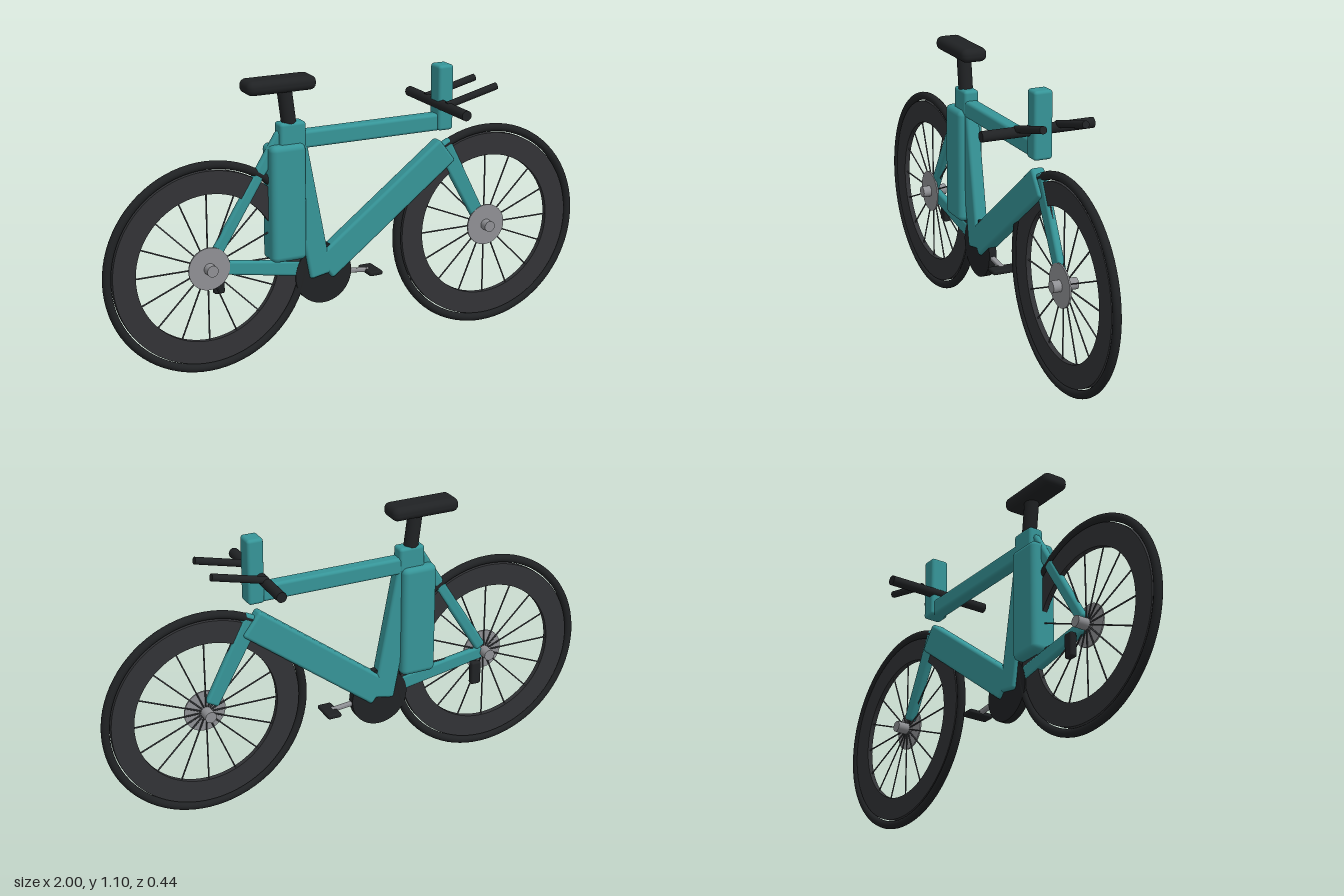
import * as THREE from 'three';
import { RoundedBoxGeometry } from 'three/addons/geometries/RoundedBoxGeometry.js';

const mat = (color) => new THREE.MeshStandardMaterial({ color });
const teal = mat(0x369598), black = mat(0x202224), rimDark = mat(0x323336);
const grey = mat(0x8f9094), spokeGrey = mat(0x44464a);

export function createModel() {
  const bike = new THREE.Group();
  bike.name = 'bicycle';

  const add = (name, geometry, material, x, y, z = 0, parent = bike) => {
    const mesh = new THREE.Mesh(geometry, material);
    mesh.name = name;
    mesh.position.set(x, y, z);
    parent.add(mesh);
    return mesh;
  };
  const box = (name, material, x, y, z, w, h, d, r = 0.012) =>
    add(name, new RoundedBoxGeometry(w, h, d, 3, r), material, x, y, z);

  // Rounded bar between two points in the side plane, with optional taper
  const bar = (name, material, [x0, y0], [x1, y1], w, d, r = 0.012, taper = 1) => {
    const length = Math.hypot(x1 - x0, y1 - y0);
    const geometry = new RoundedBoxGeometry(length, w, d, 3, r);
    const p = geometry.attributes.position;
    for (let i = 0; i < p.count; i++) {
      p.setY(i, p.getY(i) * THREE.MathUtils.lerp(1, taper, p.getX(i) / length + 0.5));
    }
    const mesh = add(name, geometry, material, (x0 + x1) / 2, (y0 + y1) / 2);
    mesh.rotation.z = Math.atan2(y1 - y0, x1 - x0);
    return mesh;
  };

  // Round rod between two 3D points
  const rod = (name, material, a, b, r) => {
    const from = new THREE.Vector3(...a), to = new THREE.Vector3(...b);
    const mid = from.clone().add(to).multiplyScalar(0.5);
    const mesh = add(name, new THREE.CylinderGeometry(r, r, from.distanceTo(to), 20), material, mid.x, mid.y, mid.z);
    mesh.quaternion.setFromUnitVectors(new THREE.Vector3(0, 1, 0), to.sub(from).normalize());
    return mesh;
  };

  // Disc or axle whose axis runs along z
  const disc = (name, material, r, depth, x, y, z, parent) => {
    const mesh = add(name, new THREE.CylinderGeometry(r, r, depth, 40), material, x, y, z, parent);
    mesh.rotation.x = Math.PI / 2;
    return mesh;
  };

  // Wheels: tyre, deep rim, spokes, hub and brake disc
  const wheel = (name, x) => {
    const group = new THREE.Group();
    group.name = name;
    group.position.set(x, 0.412, 0);
    bike.add(group);
    add('tyre', new THREE.TorusGeometry(0.392, 0.016, 14, 80), black, 0, 0, 0, group);
    const ring = new THREE.Shape().absarc(0, 0, 0.372, 0, Math.PI * 2);
    ring.holes.push(new THREE.Path().absarc(0, 0, 0.284, 0, Math.PI * 2, true));
    const rim = new THREE.ExtrudeGeometry(ring, { depth: 0.02, bevelEnabled: false, curveSegments: 64 });
    add('rim', rim, rimDark, 0, 0, -0.01, group);
    const spoke = new THREE.CylinderGeometry(0.003, 0.003, 0.27, 6).translate(0, 0.155, 0);
    for (let i = 0; i < 16; i++) {
      add('spoke', spoke, spokeGrey, 0, 0, 0, group).rotation.z = (i / 16) * Math.PI * 2;
    }
    disc('hub', grey, 0.022, 0.1, 0, 0, 0, group);
    disc('brakeDisc', grey, 0.082, 0.006, 0, 0, 0.014, group);
  };
  wheel('rearWheel', -0.592);
  wheel('frontWheel', 0.588);

  // Frame tubes
  bar('topTube', teal, [-0.27, 0.858], [0.39, 0.858], 0.066, 0.054);
  bar('downTube', teal, [-0.123, 0.342], [0.406, 0.743], 0.114, 0.054);
  bar('seatTube', teal, [-0.25, 0.9], [-0.138, 0.315], 0.09, 0.054);
  box('seatClamp', teal, -0.252, 0.88, 0, 0.105, 0.1, 0.06);
  bar('chainStay', teal, [-0.11, 0.335], [-0.58, 0.412], 0.065, 0.028, 0.012, 0.8);
  bar('seatStay', teal, [-0.29, 0.89], [-0.575, 0.435], 0.045, 0.028);
  bar('fork', teal, [0.39, 0.77], [0.566, 0.44], 0.072, 0.03, 0.012, 0.75);
  box('headTube', teal, 0.388, 0.953, 0, 0.064, 0.255, 0.074);
  box('batteryCase', teal, -0.278, 0.625, 0, 0.142, 0.45, 0.102, 0.022);

  // Saddle and seat post
  rod('seatPost', black, [-0.255, 0.9, 0], [-0.277, 1.07, 0], 0.028);
  box('saddle', black, -0.3, 1.075, 0, 0.276, 0.054, 0.104, 0.024);

  // Handlebar with a pair of forward extensions
  rod('handlebar', black, [0.37, 0.927, -0.222], [0.37, 0.927, 0.222], 0.02);
  for (const side of [-1, 1]) {
    rod('barExtension', black, [0.365, 0.937, side * 0.082], [0.58, 0.99, side * 0.082], 0.014);
  }

  // Drivetrain
  disc('chainring', black, 0.117, 0.03, -0.125, 0.32, 0);
  bar('crank', grey, [-0.125, 0.322], [0.075, 0.3], 0.016, 0.02, 0.005);
  box('pedal', black, 0.083, 0.297, 0, 0.056, 0.018, 0.104, 0.007);
  box('gearChanger', black, -0.538, 0.342, -0.031, 0.042, 0.096, 0.028, 0.008);

  return bike;
}
